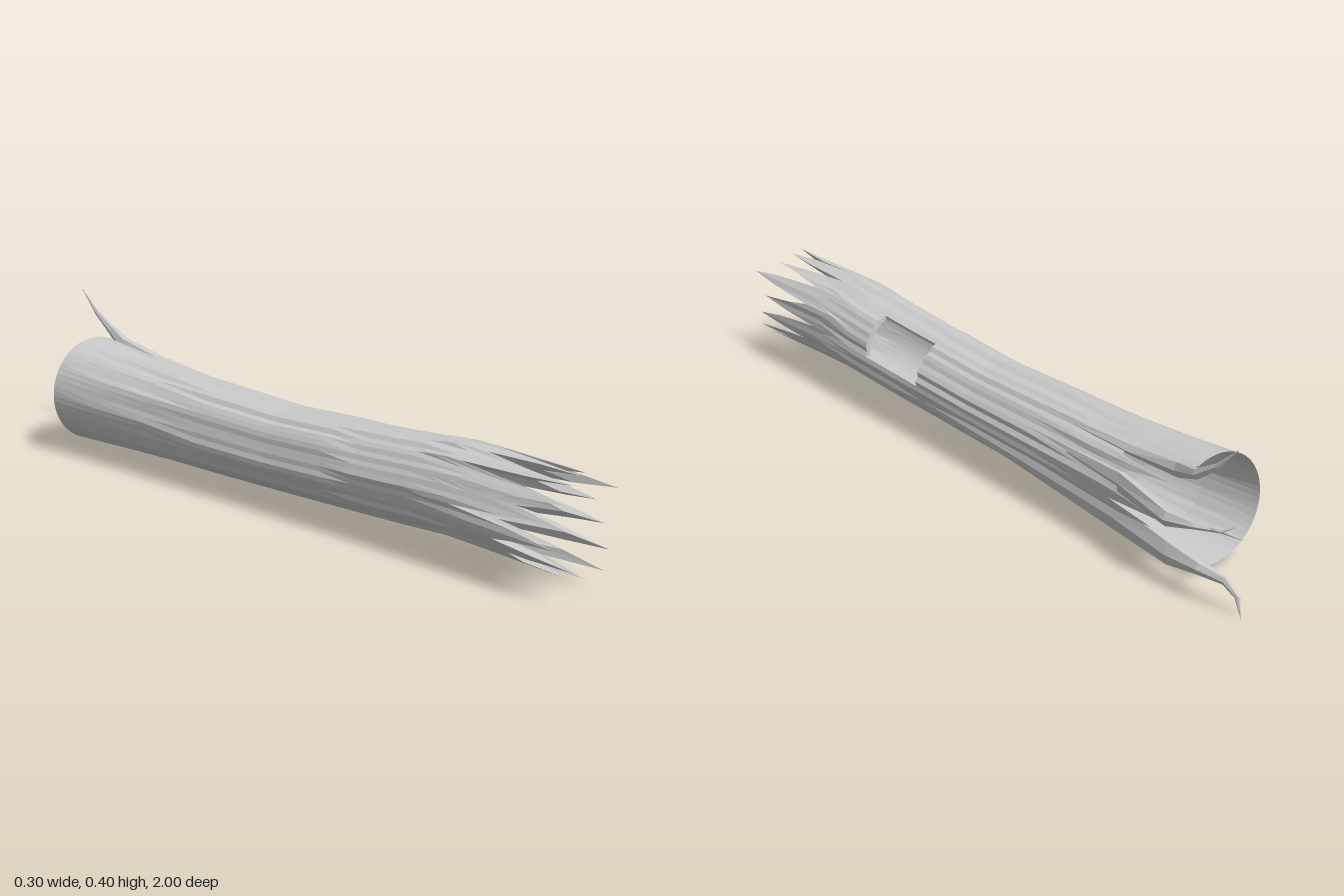
import * as THREE from 'three';

const material = new THREE.MeshStandardMaterial({ color: 0xcccccc, flatShading: true, side: THREE.DoubleSide });
const TEETH = 14, COLS = TEETH * 4;

function seeded(n) {
  const s = Math.sin(n * 127.1 + 11.7) * 43758.5453;
  return s - Math.floor(s);
}

// Trunk profile along z: [z, centre height, radius]
const PROFILE = [[-0.8, 0.167, 0.142], [-0.6, 0.161, 0.13], [-0.4, 0.158, 0.121], [0, 0.155, 0.111],
  [0.4, 0.17, 0.115], [0.6, 0.182, 0.118], [1, 0.167, 0.122]];
function profileAt(z) {
  let i = 0;
  while (i < PROFILE.length - 2 && z > PROFILE[i + 1][0]) i++;
  const a = PROFILE[i], b = PROFILE[i + 1];
  const t = THREE.MathUtils.clamp((z - a[0]) / (b[0] - a[0]), 0, 1);
  return { y: a[1] + (b[1] - a[1]) * t, r: a[2] + (b[2] - a[2]) * t };
}

// Splintered front edge: deep slits between long pointed teeth
function frontEdge(c) {
  const tooth = Math.floor(c / 4), part = c % 4;
  const tip = tooth === 8 ? 1 : 0.89 + 0.08 * seeded(tooth + 3);
  if (part === 0) return 0.62 + 0.17 * seeded(tooth + 40);
  return part === 2 ? tip : tip - 0.09 - 0.05 * seeded(c + 60);
}

// Clean round rim at the back, torn away on the side that carries the roots
function backEdge(c) {
  const torn = c <= 9 || c >= COLS - 9;
  if (!torn) return -0.8;
  return c % 3 === 0 ? -0.72 - 0.06 * seeded(c) : -0.56 - 0.05 * seeded(c + 9);
}

const RINGS = [-0.45, -0.25, 0, 0.2, 0.31, 0.42, 0.5];
function columnZ(c) {
  const b = backEdge(c), f = frontEdge(c);
  return [b, (b - 0.45) / 2, ...RINGS, 0.5 + (f - 0.5) * 0.4, 0.5 + (f - 0.5) * 0.75, f];
}
const isHole = (c, k) => c >= 0 && c < 10 && (k === 5 || k === 6);

// Hollow bark: outer skin and inner skin that meet at both ends, with a window cut through
function barkGeometry() {
  const rows = RINGS.length + 5, pos = [], idx = [];
  for (let skin = 0; skin < 2; skin++) {
    for (let c = 0; c < COLS; c++) {
      const a = (c / COLS) * Math.PI * 2;
      columnZ(c).forEach((z, k) => {
        const p = profileAt(z), end = k === 0 || k === rows - 1;
        const rough = Math.min(1, (z + 0.8) / 0.3) * 0.009;
        let r = p.r + rough * (seeded(c * 3.7 + Math.floor(k / 3)) - 0.6);
        if (skin && !end) r = Math.min(r - 0.004, k === 1 ? r - 0.005 : 0.101);
        pos.push(-0.01 + r * Math.cos(a), p.y + r * Math.sin(a), z);
      });
    }
  }
  const id = (skin, c, k) => (skin * COLS + (c % COLS)) * rows + k;
  const quad = (a, b, c, d) => idx.push(a, b, c, a, c, d);
  for (let c = 0; c < COLS; c++) for (let k = 0; k < rows - 1; k++) {
    if (!isHole(c, k)) {
      quad(id(0, c, k), id(0, c + 1, k), id(0, c + 1, k + 1), id(0, c, k + 1));
      quad(id(1, c, k), id(1, c, k + 1), id(1, c + 1, k + 1), id(1, c + 1, k));
      continue;
    }
    // Thickness of the window frame
    const wall = (c1, k1, c2, k2) => quad(id(0, c1, k1), id(0, c2, k2), id(1, c2, k2), id(1, c1, k1));
    if (!isHole(c - 1, k)) wall(c, k, c, k + 1);
    if (!isHole(c + 1, k)) wall(c + 1, k + 1, c + 1, k);
    if (!isHole(c, k - 1)) wall(c + 1, k, c, k);
    if (!isHole(c, k + 1)) wall(c, k + 1, c + 1, k + 1);
  }
  const g = new THREE.BufferGeometry();
  g.setAttribute('position', new THREE.Float32BufferAttribute(pos, 3));
  g.setIndex(idx);
  g.computeVertexNormals();
  return g;
}

// Root strand: oval sections [x, y, z, halfWidth, halfHeight] running along the path
function rootGeometry(sections) {
  const N = 6, pos = [], idx = [];
  sections.forEach(([x, y, z, w, h], i) => {
    const p = sections[Math.max(0, i - 1)], q = sections[Math.min(sections.length - 1, i + 1)];
    const dir = new THREE.Vector3(q[0] - p[0], q[1] - p[1], q[2] - p[2]).normalize();
    const side = new THREE.Vector3(1, 0, 0).addScaledVector(dir, -dir.x).normalize();
    const up = new THREE.Vector3().crossVectors(side, dir);
    for (let j = 0; j < N; j++) {
      const a = (j / N) * Math.PI * 2;
      const v = new THREE.Vector3(x, y, z).addScaledVector(side, w * Math.cos(a)).addScaledVector(up, h * Math.sin(a));
      pos.push(v.x, v.y, v.z);
    }
  });
  for (let i = 0; i < sections.length - 1; i++) for (let j = 0; j < N; j++) {
    const a = i * N + j, b = i * N + ((j + 1) % N);
    idx.push(a, b, b + N, a, b + N, a + N);
  }
  const g = new THREE.BufferGeometry();
  g.setAttribute('position', new THREE.Float32BufferAttribute(pos, 3));
  g.setIndex(idx);
  g.computeVertexNormals();
  return g;
}

const ROOTS = {
  upperRoot: [[0.05, 0.25, -0.35, 0.01, 0.01], [0.058, 0.264, -0.6, 0.022, 0.016], [0.07, 0.28, -0.76, 0.017, 0.022],
    [0.092, 0.305, -0.84, 0.011, 0.014], [0.09, 0.345, -0.9, 0.006, 0.008], [0.086, 0.405, -0.96, 0.001, 0.001]],
  middleRoot: [[0.096, 0.2, -0.4, 0.008, 0.014], [0.106, 0.196, -0.6, 0.012, 0.03], [0.13, 0.186, -0.79, 0.018, 0.022],
    [0.122, 0.196, -0.87, 0.011, 0.009], [0.1, 0.2, -0.93, 0.006, 0.006], [0.09, 0.197, -0.99, 0.001, 0.001]],
  middleRootFork: [[0.11, 0.198, -0.89, 0.006, 0.006], [0.108, 0.203, -0.94, 0.004, 0.004], [0.095, 0.222, -0.97, 0.001, 0.001]],
  lowerRoot: [[0.085, 0.12, 0.2, 0.004, 0.012], [0.088, 0.11, -0.2, 0.013, 0.026], [0.098, 0.1, -0.58, 0.019, 0.042],
    [0.112, 0.088, -0.78, 0.02, 0.034], [0.114, 0.09, -0.88, 0.014, 0.018], [0.1, 0.082, -0.95, 0.009, 0.012],
    [0.088, 0.048, -0.98, 0.006, 0.008], [0.092, 0.001, -0.998, 0.001, 0.001]],
  undersideSplinter: [[0.06, 0.075, -0.3, 0.008, 0.01], [0.075, 0.062, -0.6, 0.014, 0.012], [0.1, 0.05, -0.78, 0.003, 0.004]],
};

export function createModel() {
  const group = new THREE.Group();
  group.name = 'hollowLog';
  const add = (name, geometry, mat = material) => {
    const mesh = new THREE.Mesh(geometry, mat);
    mesh.name = name;
    group.add(mesh);
    return mesh;
  };
  add('bark', barkGeometry());

  // Conical plug closing the hollow at its narrowest place
  const smooth = new THREE.MeshStandardMaterial({ color: 0xcccccc, side: THREE.DoubleSide });
  const plug = add('innerPlug', new THREE.ConeGeometry(0.1, 0.1, 32, 1, true), smooth);
  plug.rotation.x = Math.PI / 2;
  plug.position.set(-0.01, 0.157, 0);

  for (const [name, sections] of Object.entries(ROOTS)) add(name, rootGeometry(sections));
  return group;
}
